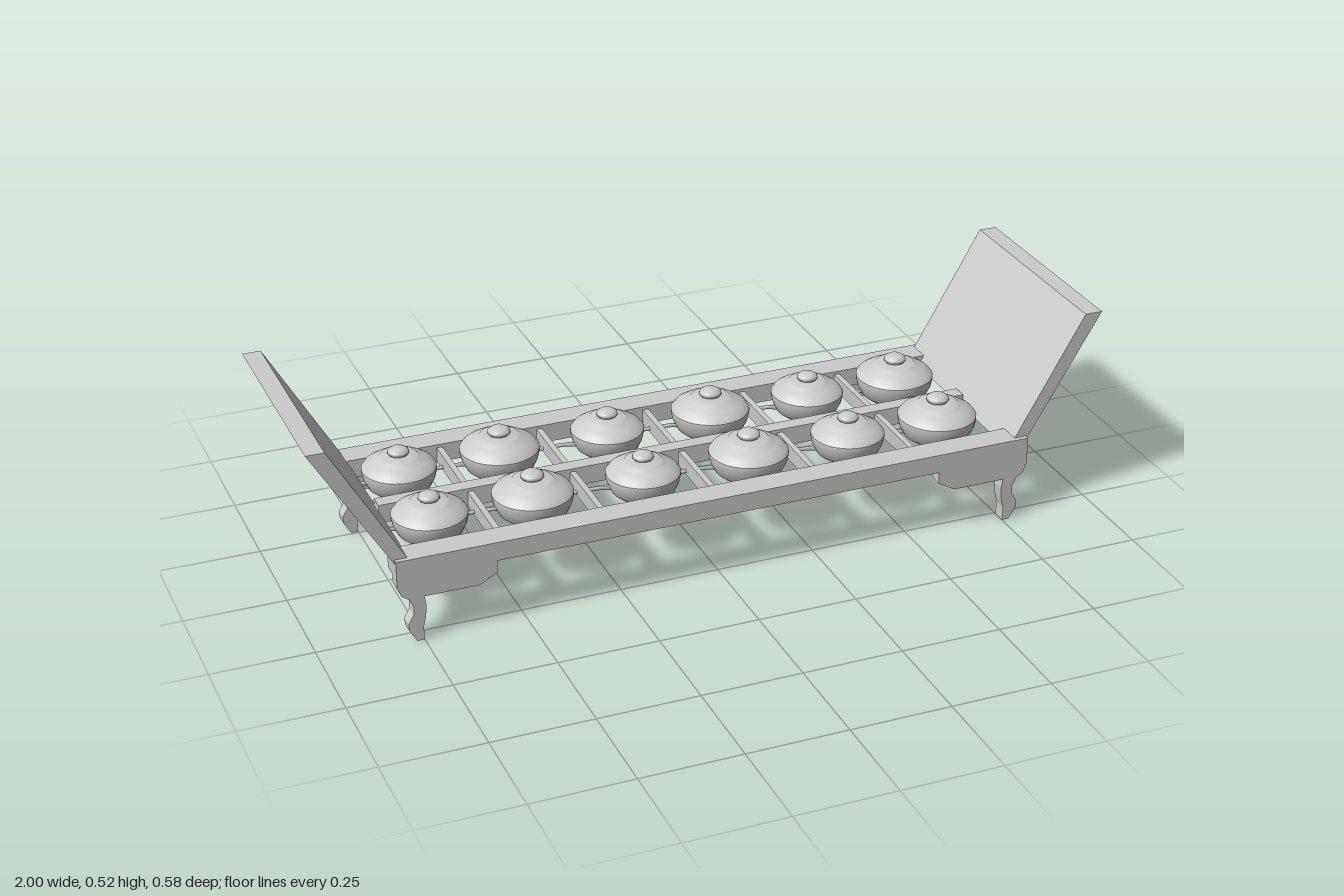
import * as THREE from 'three';

const material = new THREE.MeshStandardMaterial({ color: 0xcccccc });

export function createModel() {
  const model = new THREE.Group();
  const add = (name, geometry, x = 0, y = 0, z = 0) => {
    const mesh = new THREE.Mesh(geometry, material);
    mesh.name = name;
    mesh.position.set(x, y, z);
    model.add(mesh);
    return mesh;
  };
  // Flat outline in x/y, extruded along z and centred on z = 0
  const plate = (points, depth, side) => {
    const pts = points.map(([x, y]) => new THREE.Vector2(x * side, y));
    return new THREE.ExtrudeGeometry(new THREE.Shape(pts), { depth, bevelEnabled: false })
      .translate(0, 0, -depth / 2);
  };

  // Long rails and centre beam
  for (const s of [-1, 1]) {
    add('sideRail', new THREE.BoxGeometry(1.62, 0.048, 0.068), 0, 0.194, s * 0.256);
  }
  add('centreBeam', new THREE.BoxGeometry(1.54, 0.048, 0.038), 0, 0.194, 0);

  // Cross slats
  for (const x of [-0.542, -0.283, 0, 0.263, 0.53]) {
    add('crossSlat', new THREE.BoxGeometry(0.015, 0.04, 0.45), x, 0.19, 0);
  }

  // Sloping end panels and curved legs with their brackets
  const panel = [[0.763, 0.19], [0.8, 0.19], [1, 0.523], [0.955, 0.523]];
  const leg = [
    [0.81, 0.172], [0.81, 0.148], [0.8, 0.125], [0.782, 0.112], [0.773, 0.092],
    [0.774, 0.07], [0.787, 0.048], [0.786, 0.03], [0.768, 0], [0.75, 0],
    [0.751, 0.035], [0.745, 0.06], [0.742, 0.09], [0.746, 0.115],
    [0.612, 0.115], [0.568, 0.14], [0.568, 0.172],
  ];
  for (const s of [-1, 1]) {
    add('endPanel', plate(panel, 0.556, s));
    for (const z of [-0.2725, 0.2725]) add('leg', plate(leg, 0.035, s), 0, 0, z);
  }

  // Two rows of lidded pots, alternating in size
  const rows = [-0.124, 0.118];
  const columns = [-0.675, -0.42, -0.14, 0.135, 0.4, 0.645];
  const bowl = [[0, 0.178], [0.072, 0.178], [0.083, 0.187], [0.094, 0.21], [0.098, 0.228], [0.098, 0.236]];
  const lid = [[0.098, 0.236], [0.09, 0.246], [0.072, 0.257], [0.052, 0.265], [0.048, 0.27], [0.025, 0.272]];
  const knob = [[0.02, 0.268], [0.028, 0.276], [0.027, 0.283], [0.018, 0.289], [0, 0.291]];
  const lathe = (pts) => new THREE.LatheGeometry(pts.map(([r, y]) => new THREE.Vector2(r, y - 0.178)), 32);
  const potParts = { potBowl: lathe(bowl), potLid: lathe(lid), potKnob: lathe(knob) };
  for (const z of rows) {
    columns.forEach((x, i) => {
      const size = i % 2 || i === 5 ? 1 : 0.93;
      for (const [name, geometry] of Object.entries(potParts)) {
        add(name, geometry, x, 0.178, z).scale.set(size, size === 1 ? 1 : 0.95, size);
      }
    });
  }

  // Support rods that dip beneath every pot and run out past one end
  for (const row of rows) {
    for (const dz of [-0.053, 0.053]) {
      const path = [new THREE.Vector3(-0.775, 0.178, 0)];
      for (const x of columns) {
        for (const [dx, y] of [[-0.085, 0.177], [-0.05, 0.169], [0.05, 0.169], [0.085, 0.177]]) {
          path.push(new THREE.Vector3(x + dx, y, 0));
        }
      }
      path.push(new THREE.Vector3(0.83, 0.172, 0));
      const curve = new THREE.CatmullRomCurve3(path);
      add('supportRod', new THREE.TubeGeometry(curve, 120, 0.005, 8), 0, 0, row + dz);
      add('rodEnd', new THREE.SphereGeometry(0.005, 8, 6), 0.83, 0.172, row + dz);
    }
  }
  return model;
}
